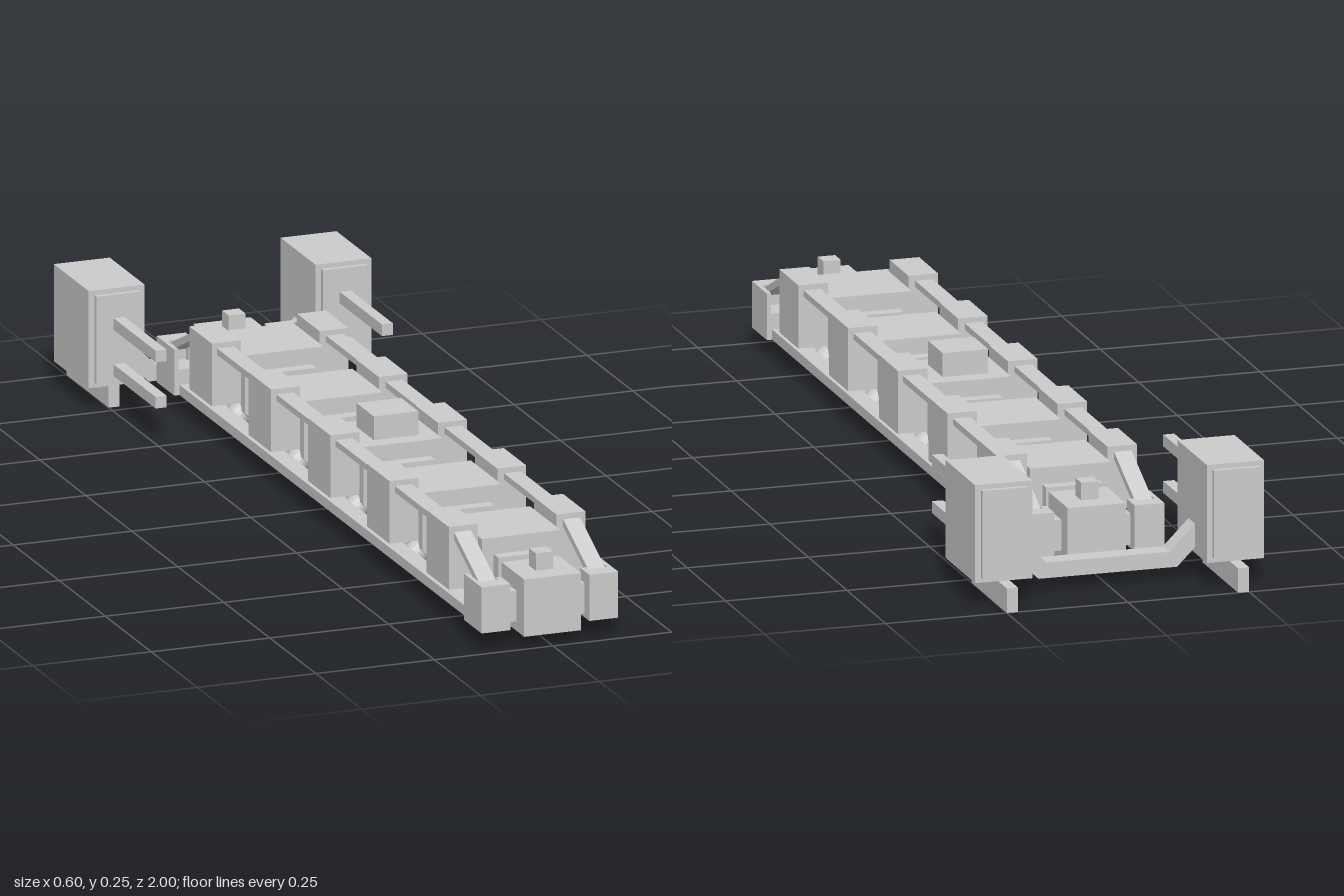
import * as THREE from 'three';

const material = new THREE.MeshStandardMaterial({ color: 0xcccccc, flatShading: true });
const MID = 0.1; // centre of the chain of stations along z

function add(parent, name, geometry) {
  const mesh = new THREE.Mesh(geometry, material);
  mesh.name = name;
  parent.add(mesh);
  return mesh;
}

// Box given by its limits on each axis
function box(parent, name, x0, x1, y0, y1, z0, z1) {
  const mesh = add(parent, name, new THREE.BoxGeometry(Math.abs(x1 - x0), y1 - y0, Math.abs(z1 - z0)));
  mesh.position.set((x0 + x1) / 2, (y0 + y1) / 2, (z0 + z1) / 2);
  return mesh;
}

// Outline in x and y pushed along z, centred on z = 0
function prism(parent, name, points, depth) {
  const shape = new THREE.Shape(points.map(([x, y]) => new THREE.Vector2(x, y)));
  const geometry = new THREE.ExtrudeGeometry(shape, { depth, bevelEnabled: false });
  geometry.translate(0, 0, -depth / 2);
  return add(parent, name, geometry);
}

function makeStation(z) {
  const g = new THREE.Group();
  g.name = 'station';
  g.position.z = z;
  prism(g, 'stationBody', [
    [-0.055, 0.03], [0.055, 0.03], [0.083, 0.06], [0.083, 0.179], [-0.083, 0.179], [-0.083, 0.06],
  ], 0.166);
  box(g, 'stationCore', -0.058, 0.058, 0.025, 0.145, -0.108, 0.108);
  for (const s of [-1, 1]) {
    box(g, 'sideBox', s * 0.083, s * 0.144, 0.075, 0.204, -0.061, 0.061);
    // Round pads facing down and outward
    for (const dz of [-0.045, 0.045]) {
      const pad = add(g, 'pad', new THREE.CylinderGeometry(0.024, 0.024, 0.03, 20));
      pad.position.set(s * 0.073, 0.055, dz);
      pad.rotation.z = s * Math.PI / 4;
    }
  }
  return g;
}

// End unit, built with its outer end towards local +z
function makeEnd() {
  const g = new THREE.Group();
  g.name = 'endUnit';
  box(g, 'endCabin', -0.06, 0.06, 0.025, 0.143, -0.06, 0.063);
  box(g, 'endPost', -0.018, 0.018, 0.143, 0.179, -0.018, 0.018);
  box(g, 'endCrossbar', -0.085, 0.085, 0.045, 0.108, -0.022, 0.022);
  for (const s of [-1, 1]) {
    box(g, 'socketBase', s * 0.083, s * 0.144, 0.037, 0.09, -0.048, 0.048);
    box(g, 'socketOuterWall', s * 0.135, s * 0.144, 0.09, 0.132, -0.048, 0.048);
    box(g, 'socketInnerWall', s * 0.083, s * 0.096, 0.09, 0.132, -0.002, 0.048);
    box(g, 'socketEndWall', s * 0.083, s * 0.144, 0.09, 0.132, 0.012, 0.048);
    // Slanted end of the upper rail
    const dy = -0.07, dz = 0.15;
    const strap = add(g, 'slantedRail', new THREE.BoxGeometry(0.036, 0.014, Math.hypot(dy, dz)));
    strap.position.set(s * 0.115, 0.152, -0.06);
    strap.rotation.x = Math.atan2(-dy, dz);
  }
  return g;
}

// Rear pod with its rods and skid
function makePod(s) {
  const g = new THREE.Group();
  g.name = s > 0 ? 'leftPod' : 'rightPod';
  box(g, 'podBody', s * 0.18, s * 0.298, 0.05, 0.25, -0.945, -0.755);
  box(g, 'podPanels', s * 0.192, s * 0.286, 0.06, 0.24, -0.955, -0.745);
  for (const y of [0.18, 0.085]) {
    box(g, 'rod', s * 0.227, s * 0.25, y - 0.012, y + 0.012, -0.76, -0.515);
  }
  box(g, 'skid', s * 0.227, s * 0.25, 0, 0.025, -1, -0.77);
  box(g, 'skidRear', s * 0.227, s * 0.25, 0.025, 0.05, -1, -0.865);
  box(g, 'skidFront', s * 0.227, s * 0.25, 0.025, 0.05, -0.82, -0.77);
  return g;
}

export function createModel() {
  const model = new THREE.Group();
  model.name = 'chainVehicle';

  for (let i = -2; i <= 2; i++) model.add(makeStation(MID + i * 0.322));
  box(model, 'topHatch', -0.047, 0.047, 0.179, 0.228, MID - 0.047, MID + 0.047);

  // Spine and long rails
  box(model, 'spine', -0.022, 0.022, 0.04, 0.108, MID - 0.8, MID + 0.8);
  for (const s of [-1, 1]) {
    box(model, 'upperRail', s * 0.097, s * 0.133, 0.18, 0.193, MID - 0.705, MID + 0.705);
    box(model, 'lowerRail', s * 0.097, s * 0.133, 0.037, 0.058, MID - 0.82, MID + 0.82);
  }

  const frontEnd = makeEnd();
  frontEnd.position.z = MID + 0.835;
  const rearEnd = makeEnd();
  rearEnd.position.z = MID - 0.835;
  rearEnd.rotation.y = Math.PI;
  model.add(frontEnd, rearEnd);

  // Bent beam that carries the two pods
  prism(model, 'rearBeam', [
    [-0.143, 0.025], [0.143, 0.025], [0.185, 0.067], [0.185, 0.115], [0.127, 0.057],
    [-0.127, 0.057], [-0.185, 0.115], [-0.185, 0.067],
  ], 0.042).position.z = -0.848;
  model.add(makePod(1), makePod(-1));
  return model;
}
